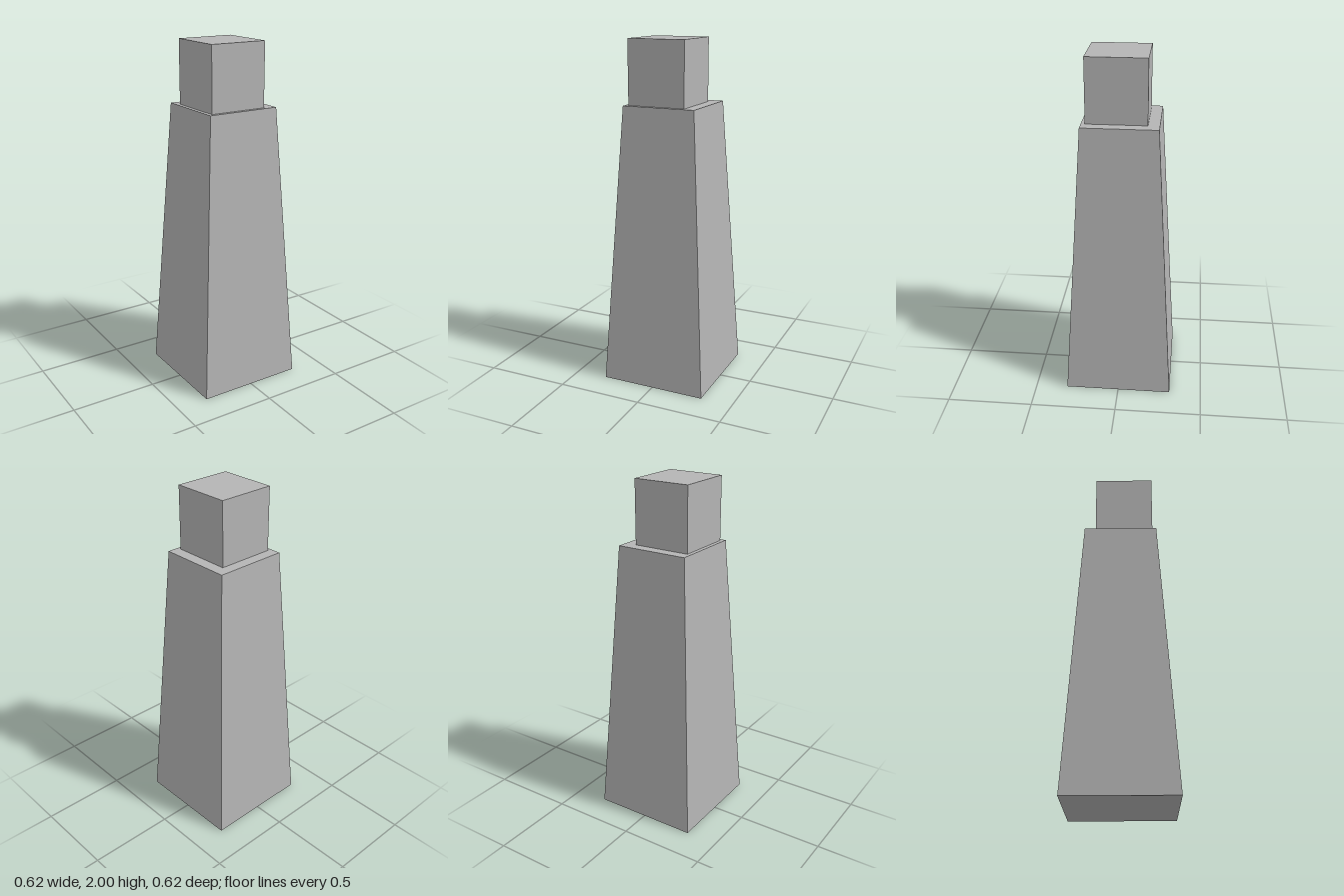
import * as THREE from 'three';

export function createModel() {
  const group = new THREE.Group();
  const stone = new THREE.MeshStandardMaterial({ color: 0xb4b4b4 });
  stone.name = 'grey stone';

  // Tapered square tower: a box whose top corners are drawn inwards
  const bottom = 0.312, top = 0.214, height = 1.635;
  const towerShape = new THREE.BoxGeometry(2 * bottom, height, 2 * bottom);
  towerShape.translate(0, height / 2, 0);
  const p = towerShape.attributes.position;
  for (let i = 0; i < p.count; i++) {
    const s = p.getY(i) > height / 2 ? top / bottom : 1;
    p.setXYZ(i, p.getX(i) * s, p.getY(i), p.getZ(i) * s);
  }
  towerShape.computeVertexNormals();
  const tower = new THREE.Mesh(towerShape, stone);
  tower.name = 'taperedTower';

  // Block on top, set slightly off centre
  const block = new THREE.Mesh(new THREE.BoxGeometry(0.338, 2 - height, 0.341), stone);
  block.position.set(-0.022, (2 + height) / 2, 0.021);
  block.name = 'topBlock';

  group.add(tower, block);
  return group;
}
